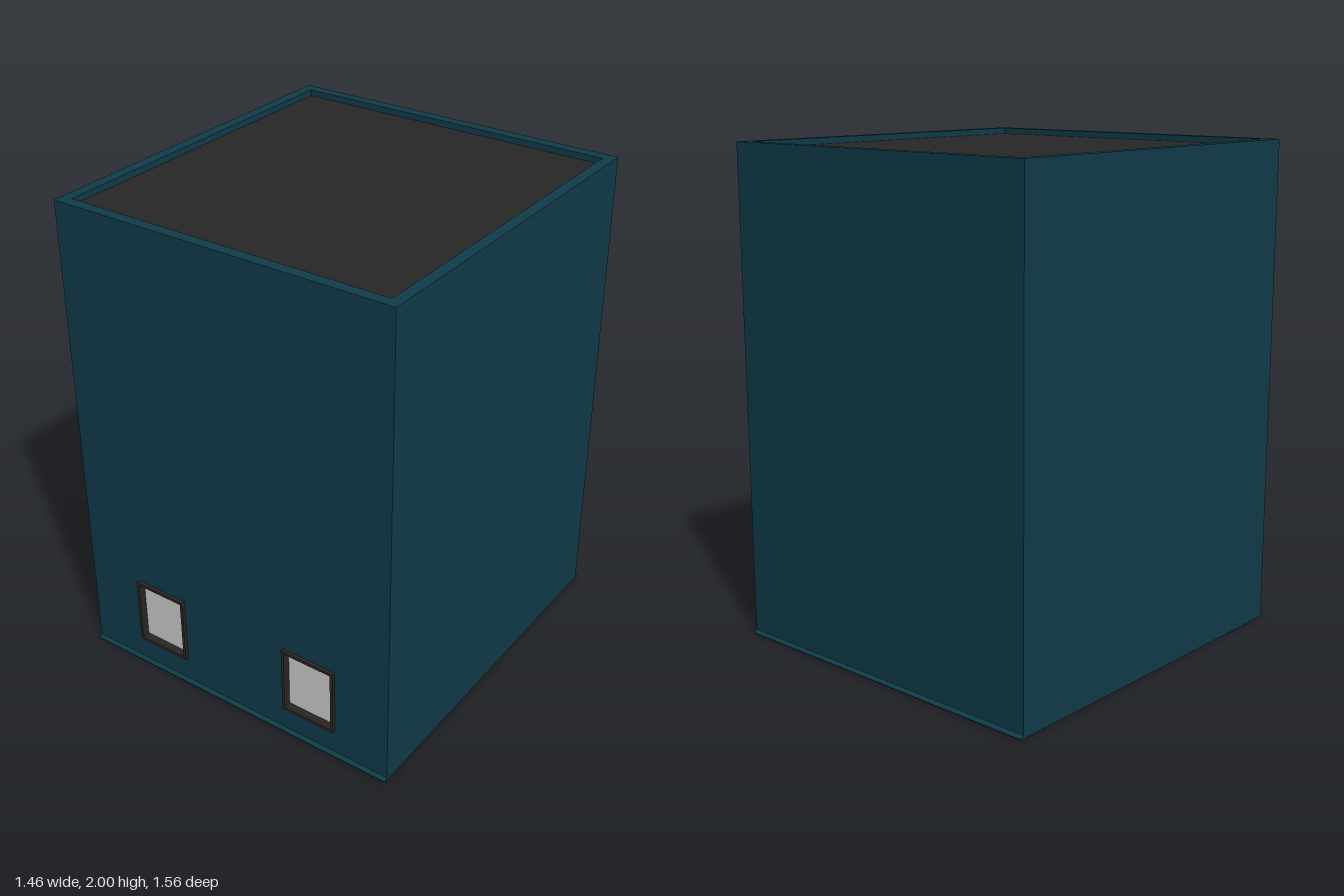
import * as THREE from 'three';

const W = 1.46, D = 1.53, H = 2, T = 0.045;      // outer size and wall thickness
const WIN = { w: 0.24, h: 0.29, y: 0.265, xs: [-0.36, 0.37] };

const mat = (color) => new THREE.MeshStandardMaterial({ color });
const wallMat = mat(0x103b49), roofMat = mat(0x272727), frameMat = mat(0x2b2624), paneMat = mat(0xcccccc);

function rect(Kind, cx, cy, w, h) {
  const p = new Kind();
  p.moveTo(cx - w / 2, cy - h / 2);
  p.lineTo(cx + w / 2, cy - h / 2);
  p.lineTo(cx + w / 2, cy + h / 2);
  p.lineTo(cx - w / 2, cy + h / 2);
  p.closePath();
  return p;
}

function add(parent, name, geometry, material, x = 0, y = 0, z = 0) {
  const mesh = new THREE.Mesh(geometry, material);
  mesh.name = name;
  mesh.position.set(x, y, z);
  parent.add(mesh);
  return mesh;
}

const extrude = (shape, depth) => new THREE.ExtrudeGeometry(shape, { depth, bevelEnabled: false });

export function createModel() {
  const model = new THREE.Group();
  model.name = 'building';

  // Front wall with window openings
  const front = rect(THREE.Shape, 0, H / 2, W, H);
  for (const x of WIN.xs) front.holes.push(rect(THREE.Path, x, WIN.y, WIN.w, WIN.h));
  add(model, 'frontWall', extrude(front, T), wallMat, 0, 0, D / 2 - T);

  // Plain back and side walls, open underneath
  add(model, 'backWall', new THREE.BoxGeometry(W, H, T), wallMat, 0, H / 2, -D / 2 + T / 2);
  for (const s of [-1, 1]) {
    add(model, s > 0 ? 'leftWall' : 'rightWall', new THREE.BoxGeometry(T, H, D - 2 * T), wallMat,
      s * (W - T) / 2, H / 2, 0);
  }

  // Flat roof set just below the parapet
  add(model, 'roof', new THREE.BoxGeometry(W - 2 * T, 0.02, D - 2 * T), roofMat, 0, H - 0.035, 0);

  // Small sloped sill along the foot of the front and back walls
  const wedge = new THREE.Shape([[0, 0], [0.015, 0], [0.015, 0.004], [0, 0.014]].map(([x, y]) => new THREE.Vector2(x, y)));
  for (const s of [-1, 1]) {
    const sill = add(model, s > 0 ? 'frontSill' : 'backSill', extrude(wedge, W), wallMat, s * -W / 2, 0, s * D / 2);
    sill.rotation.y = -s * Math.PI / 2;
    if (s > 0) sill.position.x = W / 2;
    else sill.position.x = -W / 2;
  }

  // Windows: a frame through the wall and a recessed pane
  for (const x of WIN.xs) {
    const win = new THREE.Group();
    win.name = 'window';
    win.position.set(x, WIN.y, D / 2 - T / 2);
    const frame = rect(THREE.Shape, 0, 0, WIN.w, WIN.h);
    frame.holes.push(rect(THREE.Path, 0, 0, WIN.w - 0.024, WIN.h - 0.024));
    const depth = T + 0.03;
    add(win, 'windowFrame', extrude(frame, depth), frameMat, 0, 0, -depth / 2);
    add(win, 'windowPane', new THREE.BoxGeometry(WIN.w - 0.024, WIN.h - 0.024, 0.01), paneMat);
    model.add(win);
  }
  return model;
}
